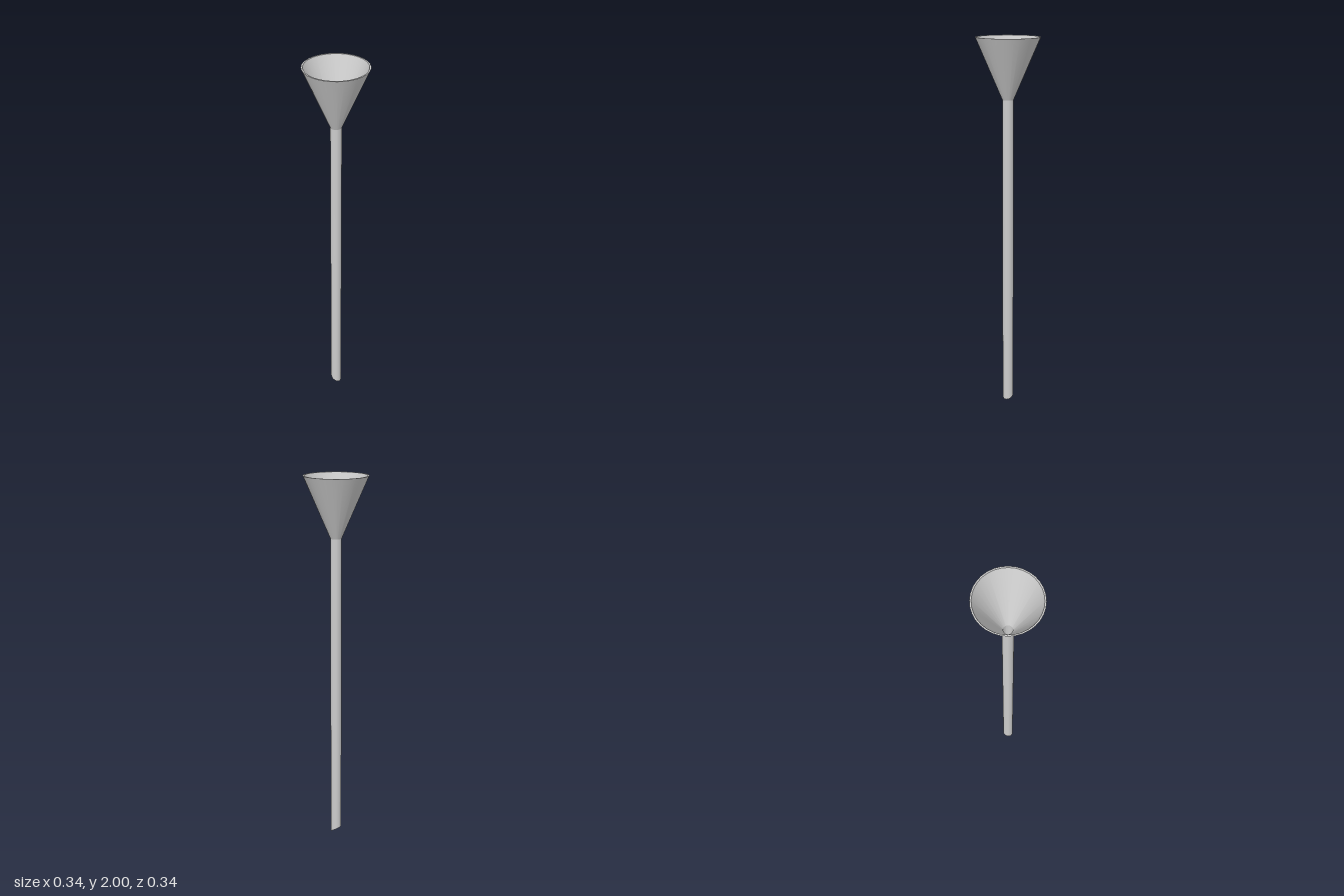
import * as THREE from 'three';
import { toCreasedNormals } from 'three/addons/utils/BufferGeometryUtils.js';

export function createModel() {
  const group = new THREE.Group();
  group.name = 'funnel';
  const material = new THREE.MeshStandardMaterial({ color: 0xcccccc });
  const stemOuter = 0.029, stemInner = 0.023, neckY = 1.68, cutSlope = 0.6;

  // Closed wall profile: up the outside, over the rim, down the inside
  const profile = [
    [stemOuter, 0], [stemOuter, neckY],
    [0.168, 2], [0.16, 2],
    [stemInner, neckY], [stemInner, 0], [stemOuter, 0],
  ].map(([r, y]) => new THREE.Vector2(r, y));
  const geometry = new THREE.LatheGeometry(profile, 32);

  // Slanted cut across the stem tip, lowest on the +x side
  const pos = geometry.attributes.position;
  for (let i = 0; i < pos.count; i++) {
    if (pos.getY(i) < 0.001) pos.setY(i, (stemOuter - pos.getX(i)) * cutSlope);
  }

  const body = new THREE.Mesh(toCreasedNormals(geometry, 0.35), material);
  body.name = 'funnelBody';
  group.add(body);
  return group;
}
